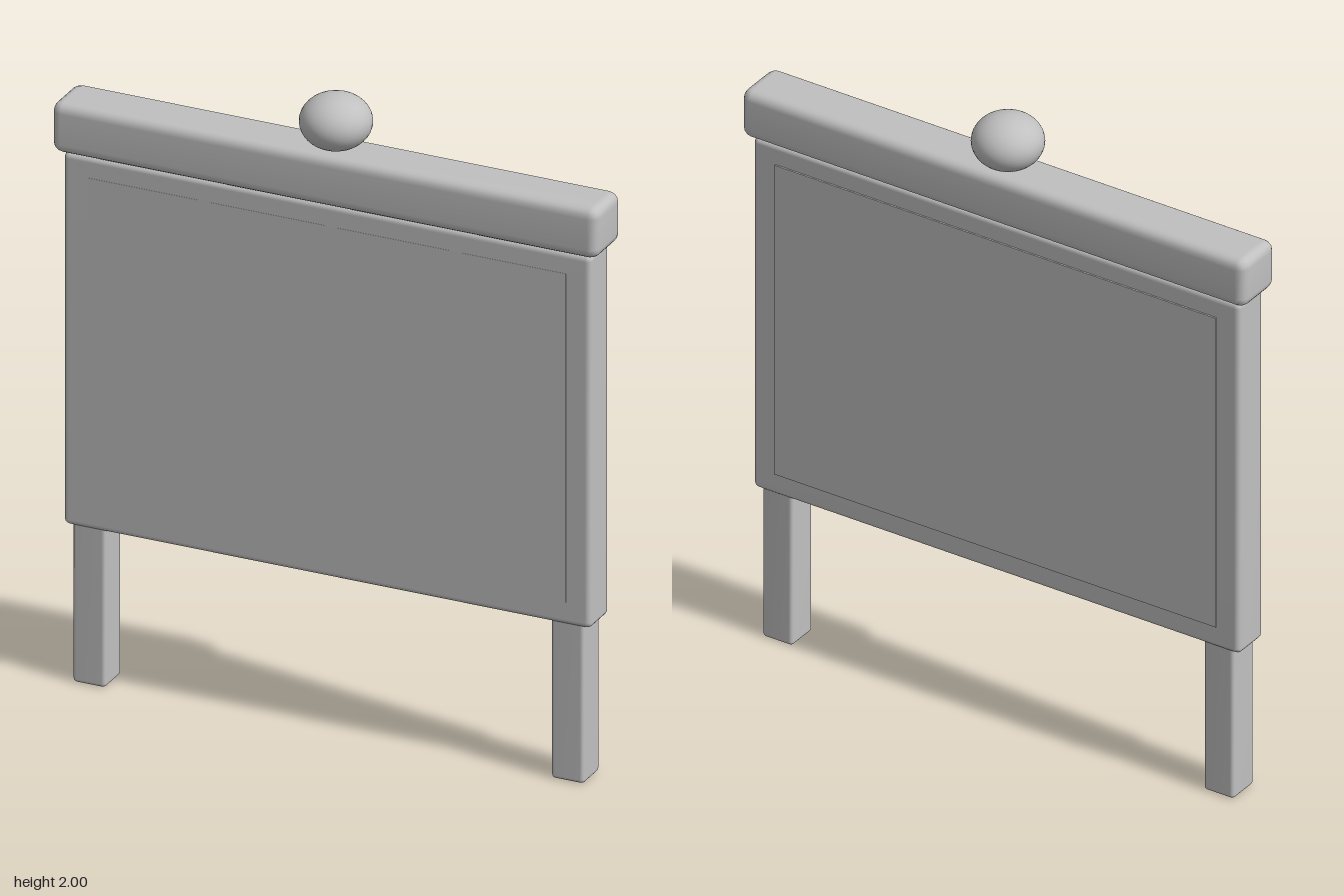
import * as THREE from 'three';
import { RoundedBoxGeometry } from 'three/addons/geometries/RoundedBoxGeometry.js';
import { mergeVertices } from 'three/addons/utils/BufferGeometryUtils.js';

export function createModel() {
  const model = new THREE.Group();
  model.name = 'noticeBoard';
  const grey = new THREE.MeshStandardMaterial({ color: 0xc0c0c0 });
  grey.name = 'lightGrey';

  function add(name, geometry, x, y, z) {
    const mesh = new THREE.Mesh(geometry, grey);
    mesh.name = name;
    mesh.position.set(x, y, z);
    model.add(mesh);
    return mesh;
  }

  // Bevelled box whose normals blend softly across the bevels
  function softBox(w, h, d, radius) {
    let geometry = new RoundedBoxGeometry(w, h, d, 2, radius);
    geometry.deleteAttribute('normal');
    geometry.deleteAttribute('uv');
    geometry = mergeVertices(geometry, 1e-4);
    geometry.computeVertexNormals();
    return geometry;
  }

  // Two square legs, running up into the board
  for (const [name, side] of [['leftLeg', 1], ['rightLeg', -1]]) {
    add(name, softBox(0.104, 0.56, 0.108, 0.012), side * 0.76, 0.28, 0);
  }

  // Main board, with a thin inset panel just proud of its faces
  add('board', softBox(1.676, 1.178, 0.126, 0.018), 0, 1.087, 0);
  add('innerPanel', new THREE.BoxGeometry(1.52, 1.04, 0.1315), 0, 1.09, -0.0022);

  // Heavy top rail
  add('topRail', softBox(1.736, 0.16, 0.17, 0.032), 0, 1.756, 0);

  // Flattened ball finial
  const finial = add('finial', new THREE.SphereGeometry(0.107, 32, 20), 0, 1.916, 0);
  finial.scale.y = 0.084 / 0.107;

  return model;
}
